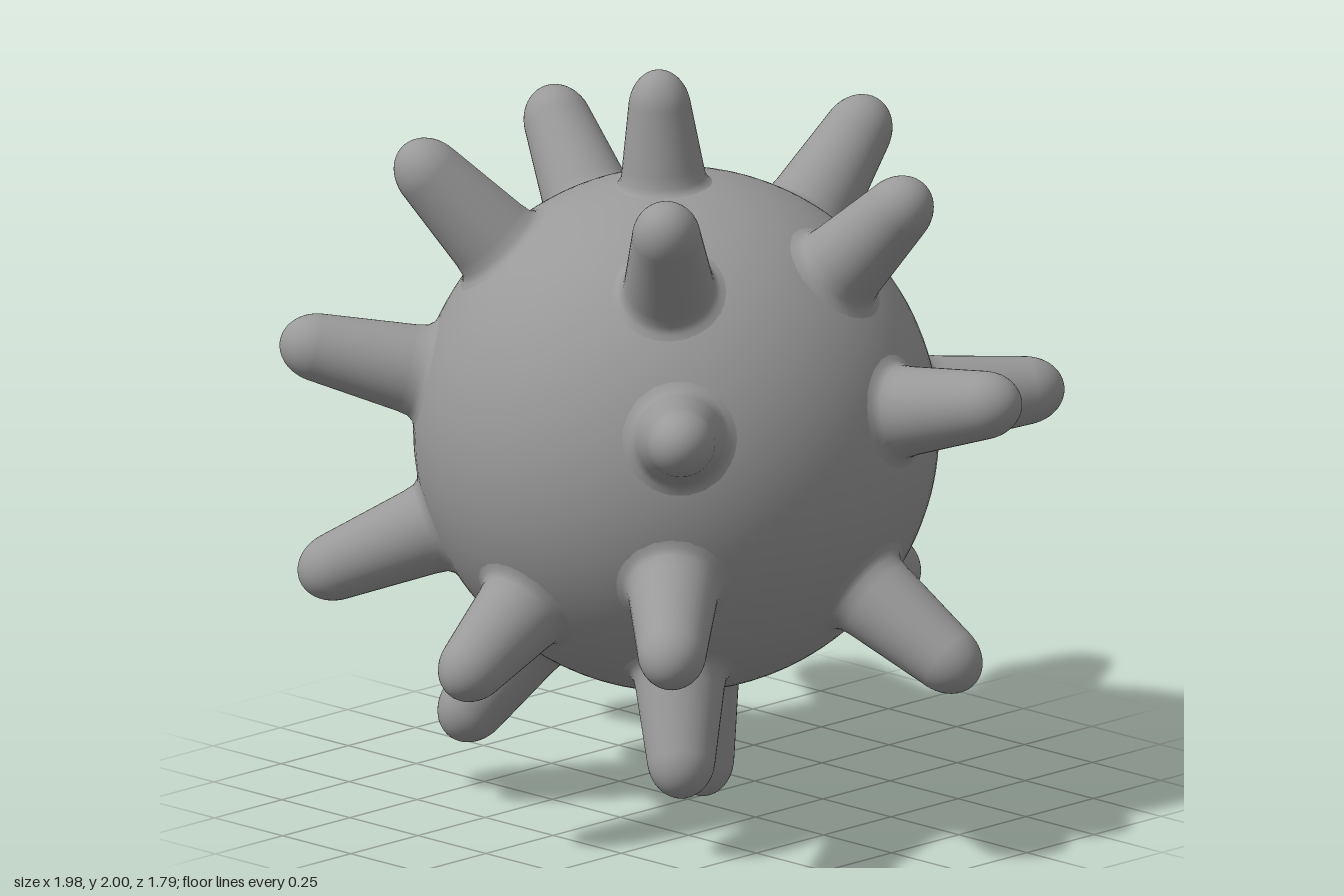
import * as THREE from 'three';

const CENTER = new THREE.Vector3(0, 1.015, 0.042);
const RADIUS = 0.688;
const UP = new THREE.Vector3(0, 1, 0);

// Tapered round-nosed spike along +y, measured from the ball's centre, with a flared foot
function spikeGeometry(length) {
  const points = [[0.157, 0.668], [0.134, 0.678], [0.122, 0.694], [0.116, 0.725]]
    .map(([r, y]) => new THREE.Vector2(r, y));
  const capRadius = 0.09, capHeight = 0.11, capBase = length - 0.03;
  const steps = 14;
  const start = 0.15; // the nose starts where the cone meets it tangentially
  for (let i = 0; i <= steps; i++) {
    const a = start + (Math.PI / 2 - start) * (i / steps);
    points.push(new THREE.Vector2(i === steps ? 0 : capRadius * Math.cos(a), capBase + capHeight * Math.sin(a)));
  }
  return new THREE.LatheGeometry(points, 40);
}

// Points near the spikes' rounded ends; those off the middle plane are mirrored
const SPIKES = [
  { name: 'topSpike', tip: [0, 1.92, 0.105], width: 0.92 },
  { name: 'bottomSpike', tip: [0, 0.082, -0.055], width: 0.95 },
  { name: 'upperBackSpike', tip: [0, 1.705, -0.648] },
  { name: 'lowerBackSpike', tip: [0, 0.472, -0.755] },
  { name: 'lowerFrontSpike', tip: [0, 0.508, 0.815] },
  { name: 'upperFrontSpike', tip: [0.445, 1.732, 0.53] },
  { name: 'upperSideSpike', tip: [0.64, 1.705, -0.155] },
  { name: 'frontSpike', tip: [0.682, 1.24, 0.714] },
  { name: 'sideSpike', tip: [0.908, 1.207, -0.213] },
  { name: 'backSpike', tip: [0.465, 1.043, -0.818] },
  { name: 'lowerCornerSpike', tip: [0.632, 0.64, 0.698] },
  { name: 'lowerSideSpike', tip: [0.83, 0.503, -0.145] },
  { name: 'undersideSpike', tip: [0.392, 0.245, 0.42] },
];

export function createModel() {
  const model = new THREE.Group();
  model.name = 'spikedBall';
  const material = new THREE.MeshStandardMaterial({ color: 0x999999 });

  // Ball
  const ball = new THREE.Mesh(new THREE.SphereGeometry(RADIUS, 96, 64), material);
  ball.name = 'ball';
  ball.position.copy(CENTER);
  model.add(ball);

  // Spikes, all pointing away from the ball's centre
  for (const { name, tip, width = 1 } of SPIKES) {
    const sides = tip[0] === 0 ? [['', 1]] : [['Left', 1], ['Right', -1]];
    for (const [suffix, sign] of sides) {
      const axis = new THREE.Vector3(sign * tip[0], tip[1], tip[2]).sub(CENTER);
      const spike = new THREE.Mesh(spikeGeometry(axis.length()), material);
      spike.name = name + suffix;
      spike.position.copy(CENTER);
      spike.quaternion.setFromUnitVectors(UP, axis.normalize());
      spike.scale.set(width, 1, width);
      model.add(spike);
    }
  }
  return model;
}
